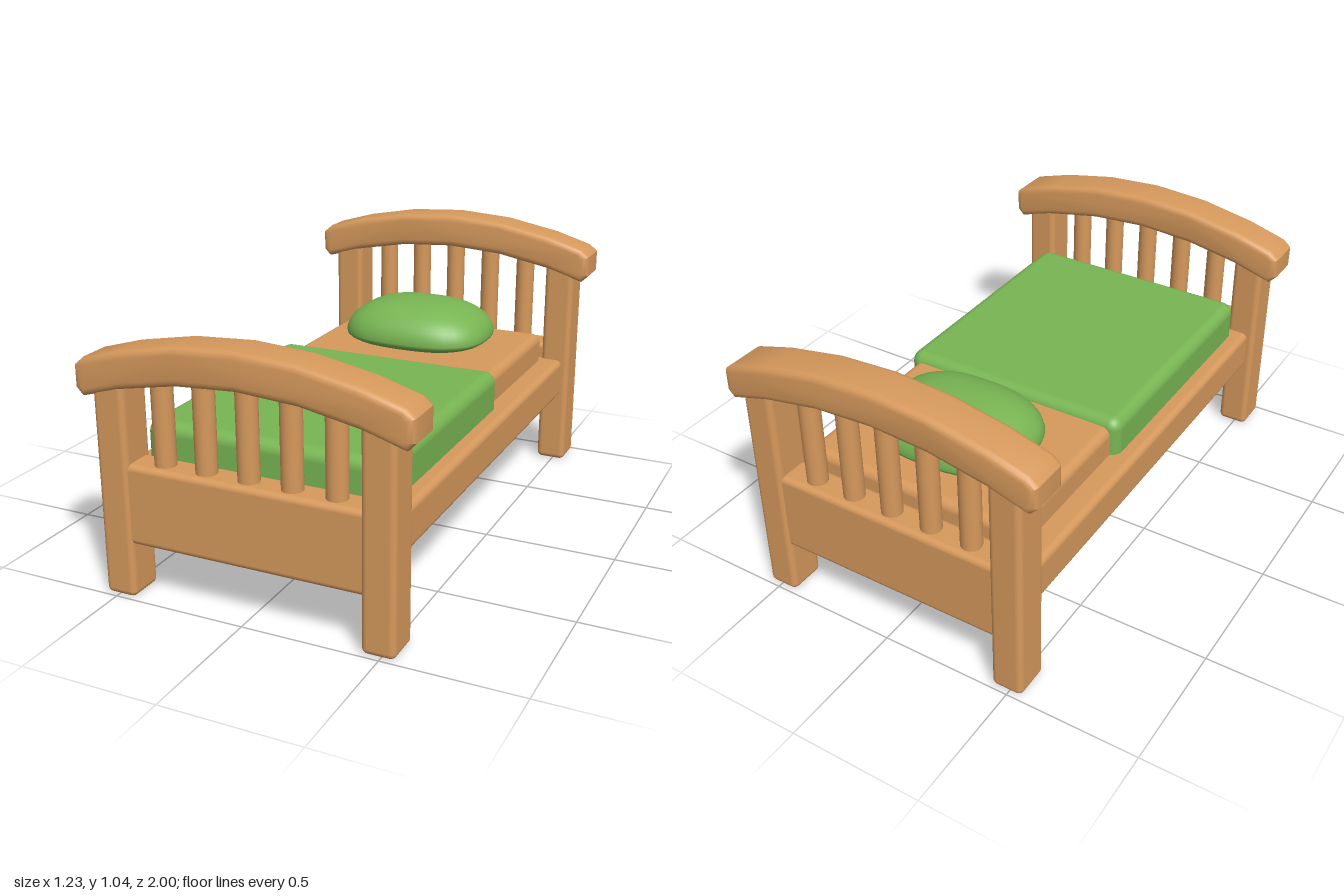
import * as THREE from 'three';
import { mergeVertices, toCreasedNormals } from 'three/addons/utils/BufferGeometryUtils.js';
import { RoundedBoxGeometry } from 'three/addons/geometries/RoundedBoxGeometry.js';

const wood = new THREE.MeshStandardMaterial({ color: 0xd6995c });
wood.name = 'wood';
const green = new THREE.MeshStandardMaterial({ color: 0x78b553 });
green.name = 'green fabric';

function add(parent, name, geometry, material) {
  const mesh = new THREE.Mesh(geometry, material);
  mesh.name = name;
  parent.add(mesh);
  return mesh;
}

// Rounded block given by its extents on each axis
function block(parent, name, [x0, x1], [y0, y1], [z0, z1], radius, material) {
  const geometry = new RoundedBoxGeometry(x1 - x0, y1 - y0, z1 - z0, 4, radius);
  geometry.translate((x0 + x1) / 2, (y0 + y1) / 2, (z0 + z1) / 2);
  return add(parent, name, geometry, material);
}

// Arched top rail, extruded along z with rounded edges
function railGeometry(crown) {
  const arch = (x, y) => new THREE.Vector2(x, y - 0.29 * x * x);
  const bottom = [-0.585, -0.43, -0.22, 0, 0.22, 0.43, 0.585].map(x => arch(x, crown - 0.135));
  const top = [0.58, 0.43, 0.22, 0, -0.22, -0.43, -0.58].map(x => arch(x, crown));
  const right = [new THREE.Vector2(0.613, crown - 0.205), new THREE.Vector2(0.613, crown - 0.125)];
  const left = right.map(p => new THREE.Vector2(-p.x, p.y)).reverse();
  const bevel = 0.025, depth = 0.165;
  const geometry = new THREE.ExtrudeGeometry(
    new THREE.Shape([...bottom, ...right, ...top, ...left]),
    { depth: depth - 2 * bevel, bevelEnabled: true, bevelThickness: bevel, bevelSize: bevel, bevelOffset: -bevel, bevelSegments: 4 }
  );
  geometry.translate(0, 0, bevel - depth / 2);
  return toCreasedNormals(geometry, 0.6);
}

// One end of the bed: two legs, panel, spindles and top rail
function bedEnd(name, z, crown, panelBottom, panelTop) {
  const end = new THREE.Group();
  end.name = name;
  for (const side of [-1, 1]) {
    const x = side * 0.49;
    block(end, side > 0 ? 'leftLeg' : 'rightLeg', [x - 0.06, x + 0.06], [0, crown - 0.14], [-0.072, 0.072], 0.022, wood);
  }
  block(end, 'panel', [-0.46, 0.46], [panelBottom, panelTop], [-0.062, 0.062], 0.022, wood);
  const low = panelTop - 0.02, high = crown - 0.115;
  for (let i = -2; i <= 2; i++) {
    const spindle = add(end, 'spindle', new THREE.CylinderGeometry(0.038, 0.038, high - low, 20), wood);
    spindle.position.set(i * 0.16, (low + high) / 2, 0);
  }
  add(end, 'topRail', railGeometry(crown), wood);
  end.position.z = z;
  return end;
}

// Cushion: sphere with squared plan and flattened underside
function pillowGeometry() {
  let geometry = new THREE.SphereGeometry(1, 40, 24);
  geometry.deleteAttribute('uv');
  geometry.deleteAttribute('normal');
  geometry = mergeVertices(geometry, 1e-4);
  const p = geometry.attributes.position;
  const n = 2.7;
  for (let i = 0; i < p.count; i++) {
    const x = p.getX(i), y = p.getY(i), z = p.getZ(i);
    const h = Math.sqrt(Math.max(0, 1 - y * y));
    const plan = Math.pow(Math.abs(x) ** n + Math.abs(z) ** n, 1 / n);
    const s = plan > 1e-4 ? Math.pow(h, 0.8) / plan : 0;
    p.setXYZ(i, x * s * 0.3, y * (y > 0 ? 0.137 : 0.055), z * s * 0.238);
  }
  geometry.computeVertexNormals();
  return geometry;
}

export function createModel() {
  const bed = new THREE.Group();
  bed.name = 'bed';

  bed.add(bedEnd('footboard', 0.917, 0.955, 0.2, 0.495));
  bed.add(bedEnd('headboard', -0.914, 1.042, 0.21, 0.52));

  // Base and bedding
  block(bed, 'base', [-0.52, 0.52], [0.295, 0.455], [-0.89, 0.89], 0.025, wood);
  block(bed, 'mattress', [-0.43, 0.43], [0.4, 0.57], [-0.838, 0.8], 0.035, wood);
  block(bed, 'blanket', [-0.46, 0.46], [0.4, 0.602], [-0.19, 0.83], 0.045, green);
  add(bed, 'pillow', pillowGeometry(), green).position.set(0, 0.62, -0.515);

  return bed;
}
